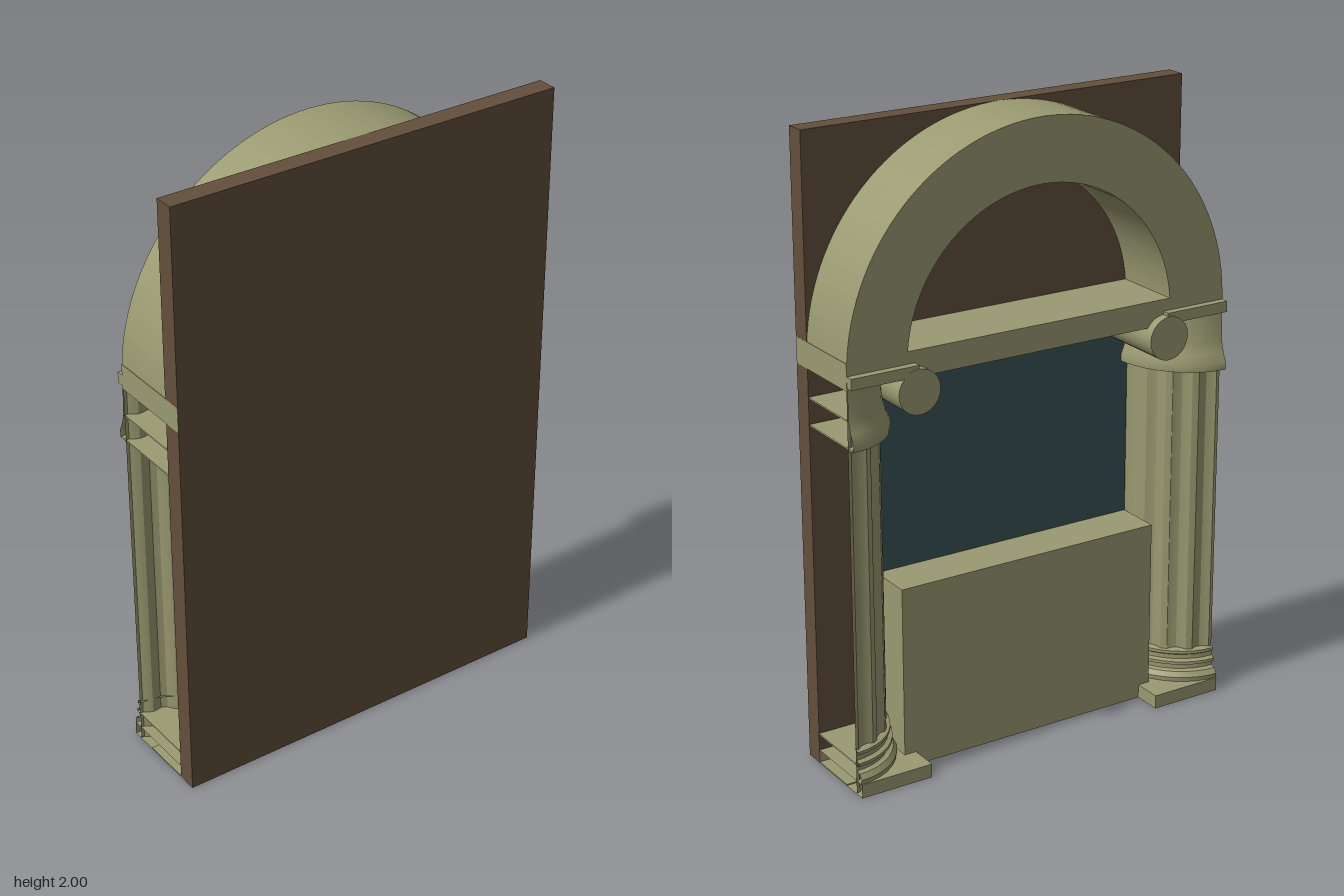
import * as THREE from 'three';
import { toCreasedNormals } from 'three/addons/utils/BufferGeometryUtils.js';

const material = (name, color, side = THREE.FrontSide) => {
  const m = new THREE.MeshStandardMaterial({ color, side });
  m.name = name;
  return m;
};

export function createModel() {
  const model = new THREE.Group();
  model.name = 'archedWindow';
  const stone = material('stone', 0x9a9a72, THREE.DoubleSide);
  const wood = material('brownBoard', 0x634f3c);
  const glass = material('darkGlass', 0x3a5254);

  const add = (parent, name, geo, mat) => {
    const mesh = new THREE.Mesh(geo, mat);
    mesh.name = name;
    parent.add(mesh);
    return mesh;
  };
  // Box given by its lower and upper limits on each axis
  const box = (parent, name, mat, x0, x1, y0, y1, z0, z1) => {
    const mesh = add(parent, name, new THREE.BoxGeometry(Math.abs(x1 - x0), y1 - y0, z1 - z0), mat);
    mesh.position.set((x0 + x1) / 2, (y0 + y1) / 2, (z0 + z1) / 2);
    return mesh;
  };

  const W = 0.665, BACK = -0.135, WALL = 0.1;

  // Board, floor, sill, glass and beam
  box(model, 'board', wood, -W, W, 0.001, 2, WALL, 0.165);
  box(model, 'floor', stone, -W, W, 0, 0.004, -0.07, 0.164);
  box(model, 'sill', stone, -0.46, 0.46, 0.004, 0.6, -0.07, 0.085);
  box(model, 'glassPane', glass, -0.46, 0.46, 0.6, 1.29, 0.08, 0.088);
  box(model, 'beam', stone, -W - 0.0005, W + 0.0005, 1.29, 1.373, BACK, 0.164);

  // Round arch
  const ring = new THREE.Shape();
  ring.absarc(0, 0, W, 0, Math.PI, false);
  ring.absarc(0, 0, 0.465, Math.PI, 0, true);
  const archGeo = new THREE.ExtrudeGeometry(ring, { depth: WALL - BACK, bevelEnabled: false, curveSegments: 32 });
  add(model, 'arch', archGeo, stone).position.set(0, 1.335, BACK);

  // Profiles of the capital and the base, bottom to top
  const bell = [[0.235, 1.11], [0.262, 1.112], [0.264, 1.135], [0.25, 1.165], [0.24, 1.2], [0.236, 1.3]];
  const base = [[0.262, 0.045], [0.264, 0.06], [0.252, 0.076], [0.236, 0.08], [0.236, 0.095], [0.25, 0.1],
    [0.25, 0.11], [0.235, 0.115], [0.235, 0.13], [0.243, 0.135], [0.243, 0.145], [0.222, 0.15]];
  const quarter = Math.PI / 2;

  // Fluted quarter shaft, four hollows with narrow ridges between
  const shaftGeometry = (start) => {
    const flutes = 4, steps = 6;
    const geo = new THREE.PlaneGeometry(1, 1, flutes * steps, 1);
    const p = geo.attributes.position;
    const offsets = [0, 0.13, 0.3, 0.5, 0.7, 0.87];
    for (let i = 0; i < p.count; i++) {
      const k = i % (flutes * steps + 1);
      const f = offsets[k % steps];
      const hollow = f > 0.13 && f < 0.87 ? 0.013 * Math.sin(((f - 0.13) / 0.74) * Math.PI) : 0;
      const a = start + ((Math.floor(k / steps) + f) / flutes) * quarter;
      const r = 0.232 - hollow;
      p.setXYZ(i, r * Math.sin(a), p.getY(i) > 0 ? 1.29 : 0.004, r * Math.cos(a));
    }
    return toCreasedNormals(geo, 0.2);
  };

  for (const s of [1, -1]) {
    const start = s > 0 ? Math.PI : quarter;
    // Hollow quarter column, open on its outer side and slightly narrow
    const column = new THREE.Group();
    column.name = s > 0 ? 'leftColumn' : 'rightColumn';
    column.position.set(s * W, 0, WALL);
    column.scale.x = 0.87;
    model.add(column);

    add(column, 'shaft', shaftGeometry(start), stone);
    for (const [name, pts] of [['capitalBell', bell], ['baseMouldings', base]]) {
      const geo = new THREE.LatheGeometry(pts.map(([r, y]) => new THREE.Vector2(r, y)), 10, start, quarter);
      add(column, name, toCreasedNormals(geo, 0.6), stone);
    }
    // Thin level plates inside the capital and base
    for (const [name, r, y] of [['capitalPlate', 0.258, 1.115], ['neckPlate', 0.236, 1.2], ['basePlate', 0.238, 0.1]]) {
      add(column, name, new THREE.CylinderGeometry(r, r, 0.004, 10, 1, false, start, quarter), stone).position.y = y;
    }

    // Scroll roll and top slab
    const roll = new THREE.CylinderGeometry(0.07, 0.07, 0.265, 24);
    roll.rotateX(quarter);
    add(model, 'scrollRoll', roll, stone).position.set(s * 0.443, 1.255, -0.0325);
    box(model, 'capitalSlab', stone, s * 0.44, s * W, 1.3, 1.335, -0.16, -0.1);

    // Plinth, open at its outer end
    const plinth = box(model, 'plinth', stone, s * 0.42, s * W, 0, 0.045, -0.165, WALL);
    const faces = Array.from(plinth.geometry.index.array);
    faces.splice(s > 0 ? 0 : 6, 6);
    plinth.geometry.setIndex(faces);
    plinth.geometry.clearGroups();
  }
  return model;
}
